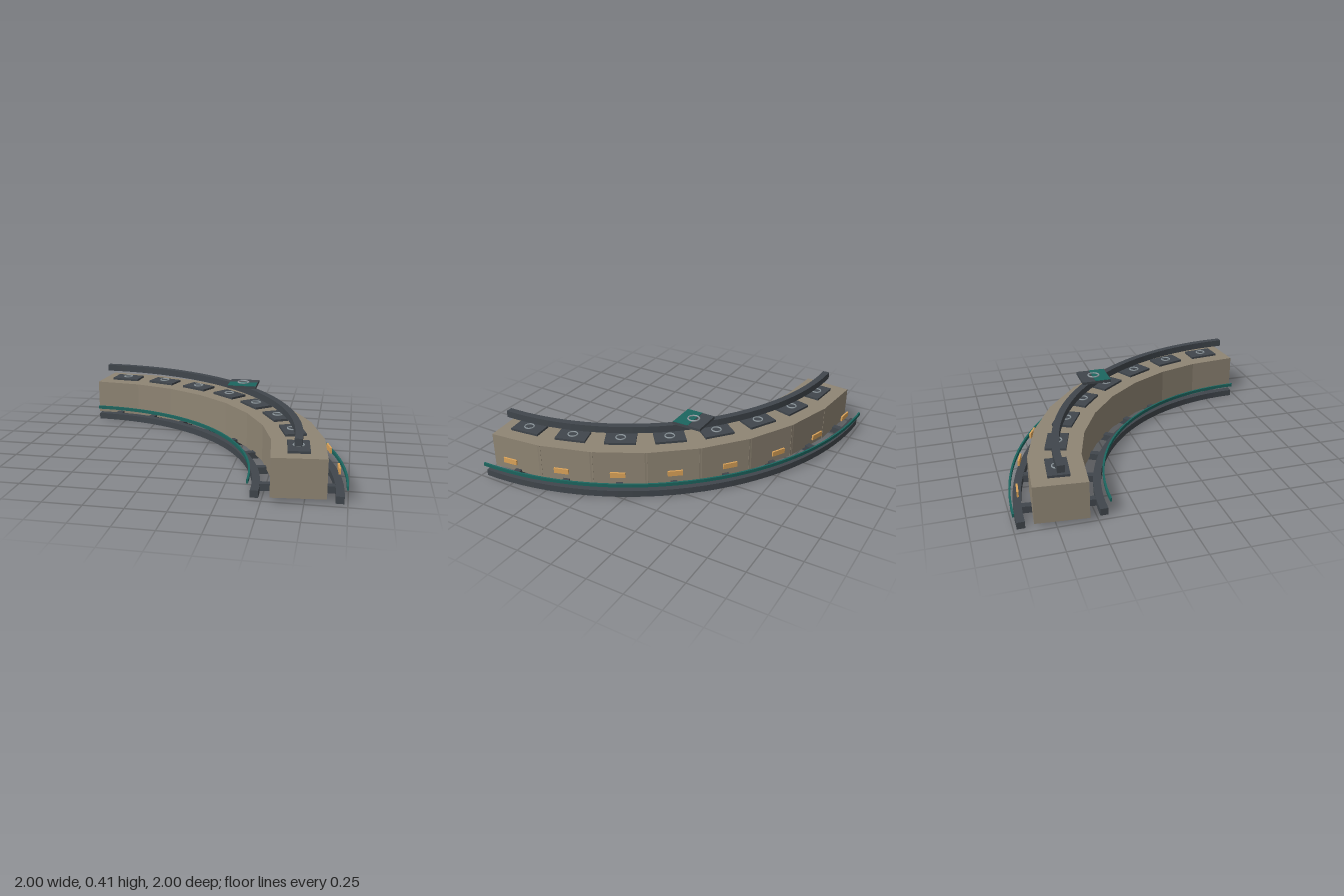
import * as THREE from 'three';

const mat = (name, color) => {
  const m = new THREE.MeshStandardMaterial({ color });
  m.name = name;
  return m;
};

export function createModel() {
  const stone = mat('stone', 0x8f8574);
  const iron = mat('dark iron', 0x40464c);
  const teal = mat('teal', 0x1c665f);
  const amber = mat('amber', 0xdba359);
  const steel = mat('light steel', 0x8b959b);

  const group = new THREE.Group();
  group.name = 'curvedTrackSection';
  const CX = -0.96, CZ = 0.96, MID = 1.665, COUNT = 8;

  const add = (name, geometry, material, parent = group) => {
    const mesh = new THREE.Mesh(geometry, material);
    mesh.name = name;
    parent.add(mesh);
    return mesh;
  };

  // Quarter-circle bar with a rectangular section
  const arcBar = (name, radius, width, y0, y1, material) => {
    const s = new THREE.Shape();
    s.absarc(CX, -CZ, radius + width / 2, 0, Math.PI / 2, false);
    s.absarc(CX, -CZ, radius - width / 2, Math.PI / 2, 0, true);
    s.closePath();
    const g = new THREE.ExtrudeGeometry(s, { depth: y1 - y0, bevelEnabled: false, curveSegments: 16 });
    g.rotateX(-Math.PI / 2);
    add(name, g, material).position.y = y0;
  };

  arcBar('innerGroundRail', 1.415, 0.05, 0.005, 0.05, iron);
  arcBar('outerGroundRail', 1.915, 0.05, 0.005, 0.05, iron);
  arcBar('innerGuideStrip', 1.373, 0.012, 0.092, 0.115, teal);
  arcBar('outerGuideStrip', 1.955, 0.012, 0.092, 0.115, teal);
  arcBar('overheadRail', MID, 0.046, 0.338, 0.385, iron);

  // Repeating sections: local x runs along the curve, local -z points outward
  for (let i = 0; i < COUNT; i++) {
    const a = ((i + 0.5) / COUNT) * Math.PI / 2;
    const section = new THREE.Group();
    section.name = 'section' + (i + 1);
    section.position.set(CX, 0, CZ);
    section.rotation.y = -a;
    group.add(section);

    const box = (name, w, h, d, y, r, material) =>
      add(name, new THREE.BoxGeometry(w, h, d), material, section).position.set(0, y, -r);

    box('wallBlock', 0.38, 0.245, 0.33, 0.1525, MID, stone);
    box('crossTie', 0.045, 0.045, 0.52, 0.0245, MID, iron);
    box('topPad', 0.21, 0.015, 0.135, 0.2825, MID, iron);
    box('markerLight', 0.1, 0.036, 0.012, 0.153, 1.908, amber);

    // Flat ring on the pad
    const ring = new THREE.TorusGeometry(0.032, 0.005, 6, 20).rotateX(Math.PI / 2);
    add('padRing', ring, steel, section).position.set(0, 0.295, -MID);
  }

  // Hub plate in the middle of the overhead rail
  const hub = new THREE.Group();
  hub.name = 'hub';
  hub.position.set(CX + MID * Math.SQRT1_2, 0, CZ - MID * Math.SQRT1_2);
  group.add(hub);
  add('hubPlate', new THREE.BoxGeometry(0.205, 0.018, 0.205), iron, hub).position.y = 0.394;
  add('hubInlay', new THREE.BoxGeometry(0.2, 0.003, 0.11), teal, hub).position.set(0, 0.4045, 0.045);
  add('hubRing', new THREE.TorusGeometry(0.038, 0.006, 8, 28).rotateX(Math.PI / 2), steel, hub).position.y = 0.408;

  return group;
}
